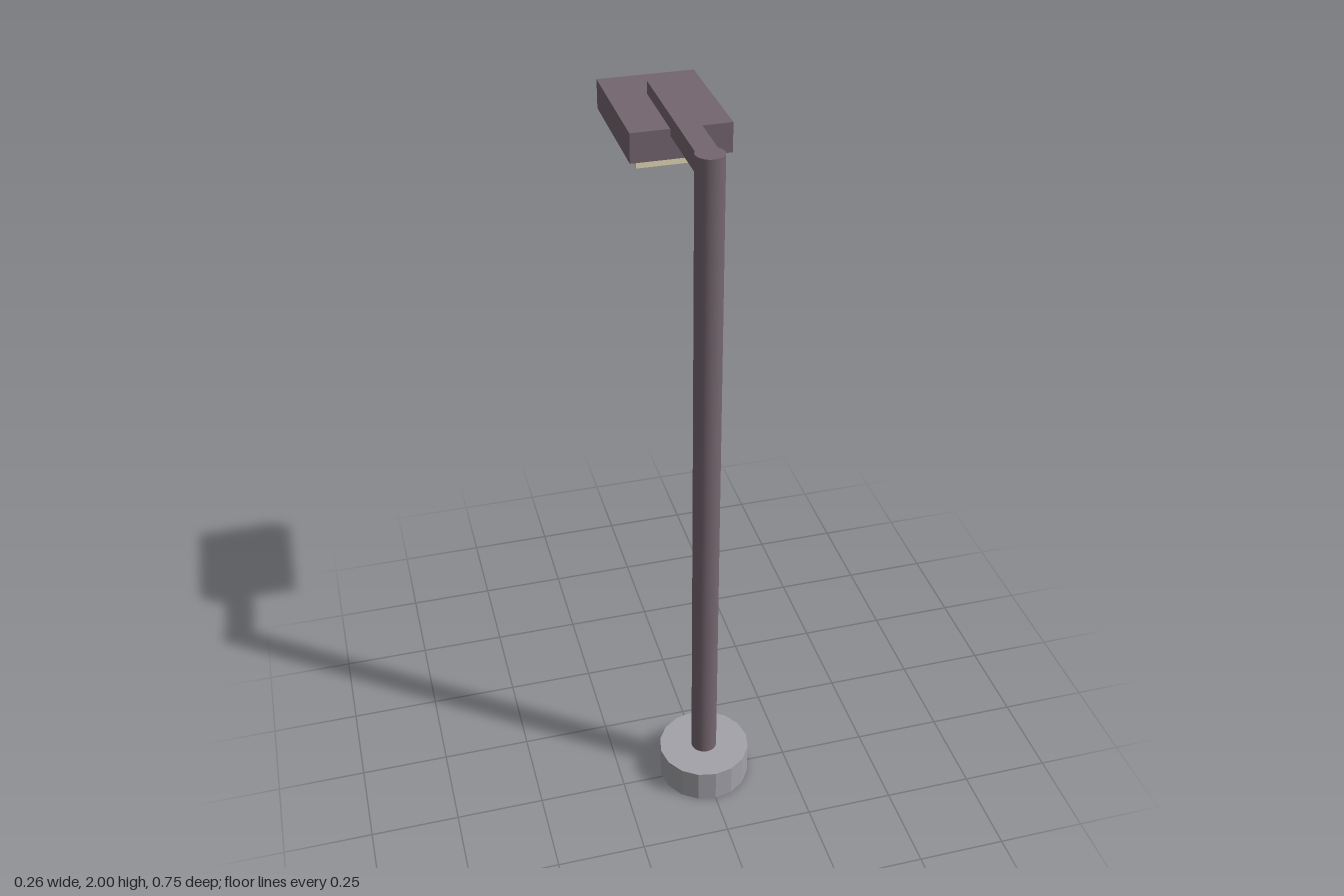
import * as THREE from 'three';

export function createModel() {
  const group = new THREE.Group();
  const paint = new THREE.MeshStandardMaterial({ color: 0x75666f });
  const concrete = new THREE.MeshStandardMaterial({ color: 0xa3a2a9, flatShading: true });
  const glow = new THREE.MeshStandardMaterial({ color: 0xe6dbb8 });
  const poleZ = 0.242;

  const add = (name, geometry, material, y, z) => {
    const mesh = new THREE.Mesh(geometry, material);
    mesh.name = name;
    mesh.position.set(0, y, z);
    group.add(mesh);
  };

  // Faceted footing and the round pole standing in it
  add('base', new THREE.CylinderGeometry(0.132, 0.132, 0.1, 16), concrete, 0.05, poleZ);
  add('pole', new THREE.CylinderGeometry(0.037, 0.037, 2, 32), paint, 1, poleZ);

  // Arm reaching back from the pole over the lamp head
  add('arm', new THREE.BoxGeometry(0.058, 0.053, 0.485), paint, 1.969, 0);

  // Lamp head with its light panel underneath
  add('lampHead', new THREE.BoxGeometry(0.264, 0.08, 0.366), paint, 1.92, -0.192);
  add('lightPanel', new THREE.BoxGeometry(0.22, 0.032, 0.312), glow, 1.869, -0.192);

  return group;
}
